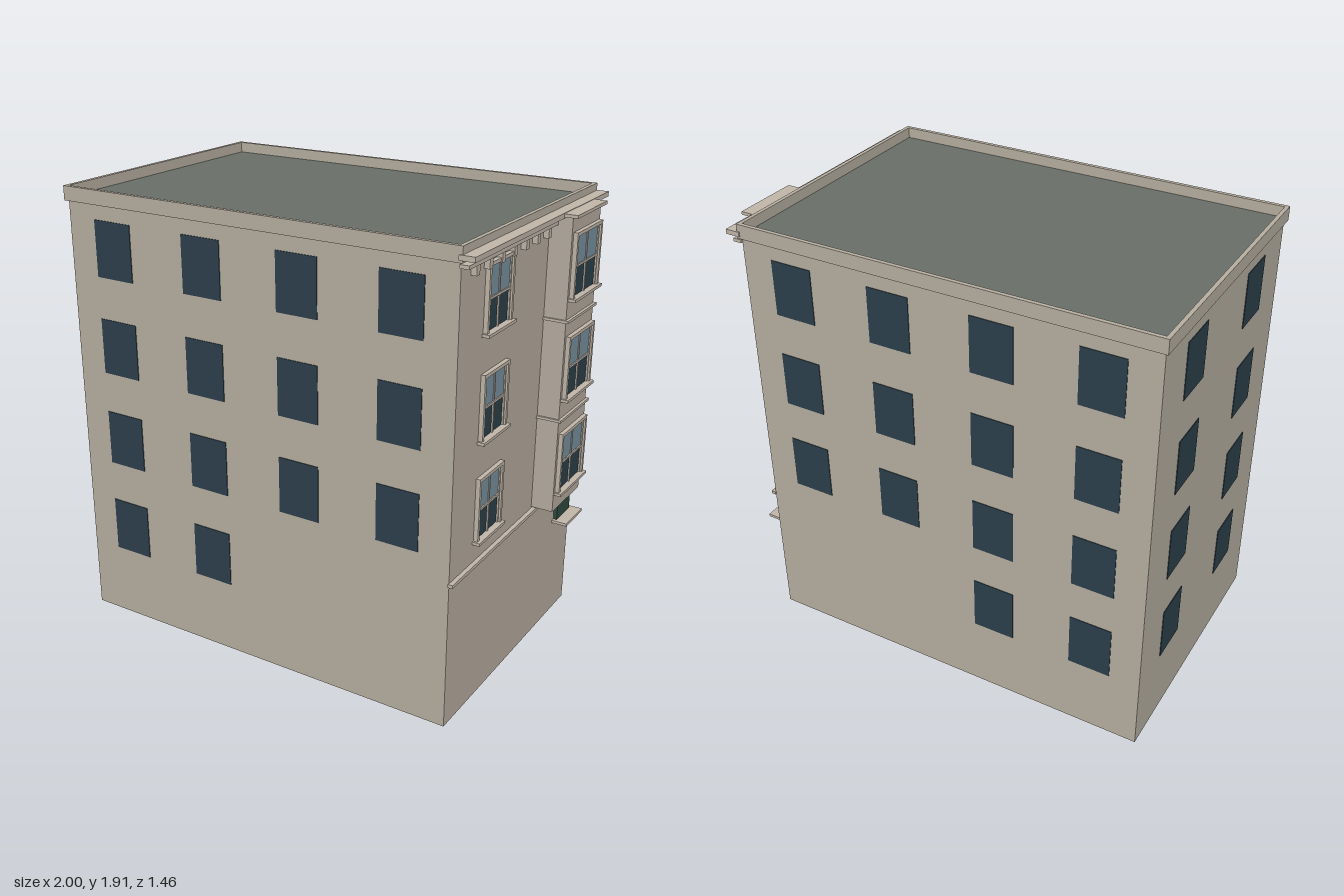
import * as THREE from 'three';

const W = 1.765, D = 1.168, H = 1.855;
const mat = (color, side = THREE.FrontSide) =>
  new THREE.MeshStandardMaterial({ color, side });
const M = {
  wall: mat(0xb7afa1), facade: mat(0xb8aca1), trim: mat(0xc2b7aa), roof: mat(0x6a6f68),
  dark: mat(0x2c3f4b), sky: mat(0x7891a0), green: mat(0x2f4a3e)
};

// Box given by centre x, bottom y, back z, and its size
function box(parent, name, material, x, y, z, w, h, d) {
  const mesh = new THREE.Mesh(new THREE.BoxGeometry(w, h, d), material);
  mesh.position.set(x, y + h / 2, z + d / 2);
  mesh.name = name;
  parent.add(mesh);
  return mesh;
}

// Group whose +z points out of one wall, with z = 0 on the wall
function wallGroup(parent, name, angle, dist) {
  const g = new THREE.Group();
  g.name = name;
  g.rotation.y = angle;
  g.position.set(Math.sin(angle) * dist, 0, Math.cos(angle) * dist);
  parent.add(g);
  return g;
}

const ROWS = [0.315, 0.728, 1.14, 1.555];

// Flush windows; the columns in "low" also have one on the lowest floor
function plainWindows(g, columns, low) {
  ROWS.forEach((y, row) => (row ? columns : low).forEach(x =>
    box(g, 'plainWindow', M.dark, x, y, -0.01, 0.182, 0.237, 0.013)));
}

// Sash window with surround, glazing bars and sill
function sashWindow(parent, x, y, z, w) {
  const g = new THREE.Group();
  g.name = 'sashWindow';
  g.position.set(x, y, z);
  parent.add(g);
  const h = 0.245, t = 0.014;
  box(g, 'lowerGlass', M.dark, 0, 0, -0.005, w, h / 2, 0.008);
  box(g, 'upperGlass', M.sky, 0, h / 2, -0.005, w, h / 2, 0.01);
  for (const s of [-1, 1]) {
    box(g, 'jamb', M.trim, s * (w + t) / 2, 0, 0, t, h, 0.018);
    box(g, 'sashStile', M.trim, s * (w / 2 - 0.003), 0, 0, 0.006, h, 0.01);
  }
  box(g, 'lintel', M.trim, 0, h, 0, w + 2 * t, t, 0.018);
  box(g, 'meetingRail', M.trim, 0, h / 2 - 0.005, 0, w, 0.009, 0.01);
  box(g, 'mullion', M.trim, 0, 0, 0, 0.008, h, 0.009);
  box(g, 'sill', M.trim, 0, -0.012, 0, w + 0.046, 0.012, 0.03);
}

function rect(shape, w, d) {
  shape.moveTo(-w / 2, -d / 2);
  shape.lineTo(w / 2, -d / 2);
  shape.lineTo(w / 2, d / 2);
  shape.lineTo(-w / 2, d / 2);
  shape.closePath();
  return shape;
}

export function createModel() {
  const model = new THREE.Group();
  model.name = 'apartmentBuilding';
  const house = new THREE.Group();
  house.name = 'building';
  house.rotation.y = 0.15;
  house.position.set(-0.03, 0, 0.008);
  model.add(house);

  // Main block, roof and parapet ring
  box(house, 'body', M.wall, 0, 0, -D / 2, W, H, D);
  box(house, 'roof', M.roof, 0, H, -D / 2, W, 0.015, D);
  const ring = rect(new THREE.Shape(), W + 0.026, D + 0.026);
  ring.holes.push(rect(new THREE.Path(), W - 0.008, D - 0.008));
  const parapet = new THREE.Mesh(
    new THREE.ExtrudeGeometry(ring, { depth: 0.06, bevelEnabled: false }), M.wall);
  parapet.name = 'parapet';
  parapet.rotation.x = -Math.PI / 2;
  parapet.position.y = H;
  house.add(parapet);

  // Three plain walls
  const c = [-0.66, -0.22, 0.22, 0.66];
  plainWindows(wallGroup(house, 'frontWall', 0, D / 2), c, c.slice(0, 2));
  plainWindows(wallGroup(house, 'backWall', Math.PI, D / 2), c, c.slice(2));
  plainWindows(wallGroup(house, 'rightWall', -Math.PI / 2, W / 2), [-0.292, 0.292], [-0.292, 0.292]);

  // Decorated street facade
  const f = wallGroup(house, 'streetFacade', Math.PI / 2, W / 2);
  box(f, 'facadePanel', M.facade, 0, 0, -0.01, D, H, 0.012);
  box(f, 'corniceTop', M.trim, 0, 1.865, 0, D + 0.036, 0.02, 0.062);
  box(f, 'corniceMolding', M.trim, 0, 1.836, 0, D + 0.02, 0.014, 0.037);
  for (let i = -5; i <= 5; i++) {
    box(f, 'corniceBracket', M.trim, i * 0.1012 + 0.01, 1.792, 0, 0.025, 0.044, 0.024);
  }
  box(f, 'stringCourse', M.trim, 0, 0.62, 0, D + 0.012, 0.014, 0.02);

  // Projecting bay with floor moldings
  const bx = 0.293, bd = 0.095;
  box(f, 'bay', M.facade, bx, 0.64, 0, 0.282, 1.232, bd);
  box(f, 'bayCap', M.trim, bx, 1.87, 0, 0.3, 0.013, bd + 0.022);
  for (const y of [1.04, 1.456]) {
    box(f, 'bayMolding', M.trim, bx, y, 0, 0.298, 0.011, bd + 0.012);
  }
  for (const y of ROWS.slice(1)) {
    sashWindow(f, -0.287, y - 0.003, 0.002, 0.182);
    sashWindow(f, bx + 0.003, y - 0.003, bd, 0.23);
  }

  // Green window partly tucked under the bay
  box(f, 'greenFrame', M.green, 0.479, 0.47, 0, 0.137, 0.3, 0.018);
  box(f, 'greenFrameGlass', M.dark, 0.479, 0.63, 0, 0.1, 0.11, 0.02);
  box(f, 'greenWindowSill', M.trim, 0.482, 0.459, 0, 0.178, 0.012, 0.07);
  return model;
}
